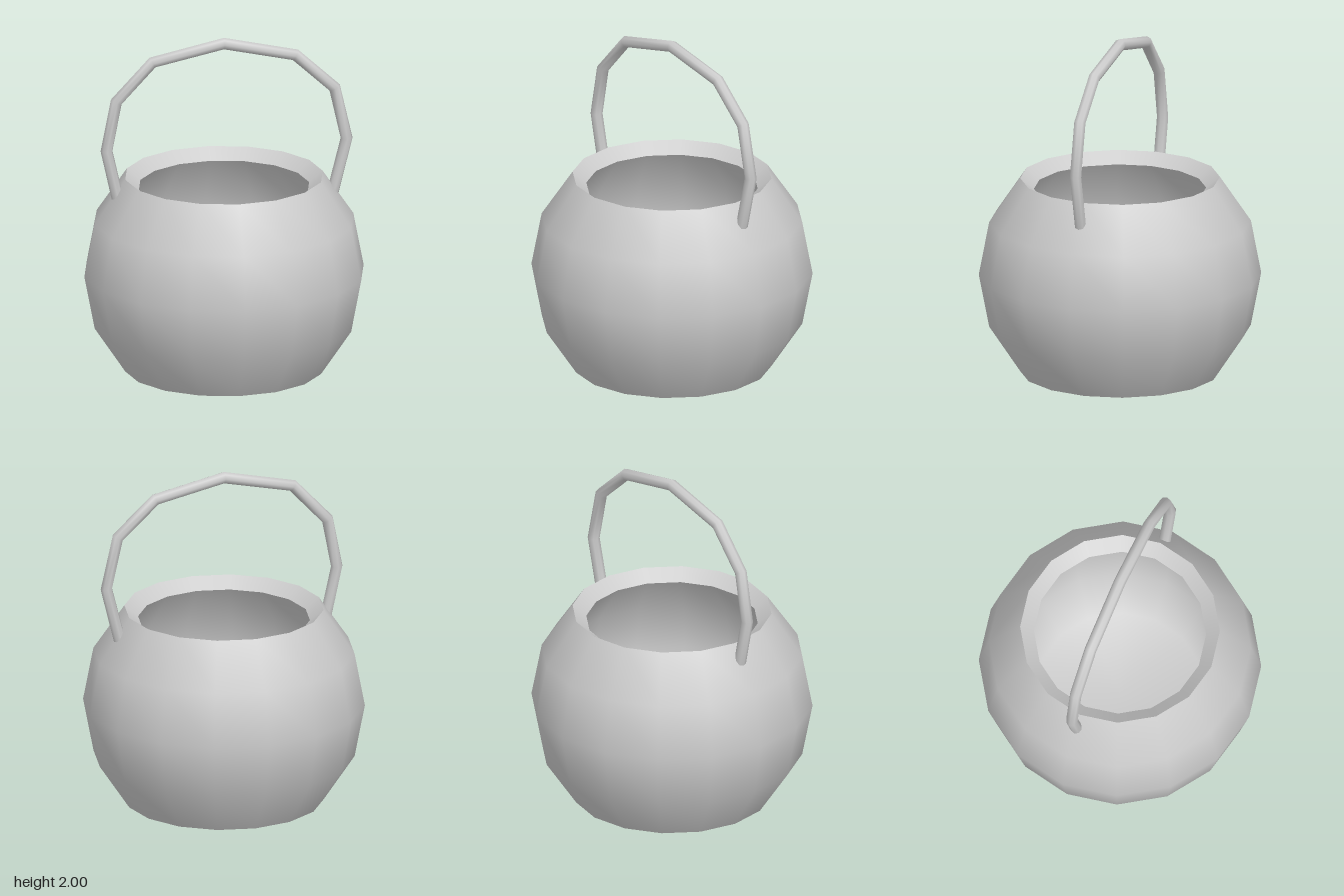
import * as THREE from 'three';

const SIDES = 16;
const material = new THREE.MeshStandardMaterial({ color: 0xcccccc, side: THREE.DoubleSide });

// Turned part: profile given as [radius, height] pairs
function turned(name, profile) {
  const points = profile.map(([r, y]) => new THREE.Vector2(r, y));
  const mesh = new THREE.Mesh(new THREE.LatheGeometry(points, SIDES), material);
  mesh.name = name;
  return mesh;
}

// Bent bar whose rings sit exactly on the given corner points
function bentBar(name, corners, radius, sides) {
  const curve = new THREE.CatmullRomCurve3(corners.map(([x, y]) => new THREE.Vector3(x, y, 0)));
  curve.getPointAt = curve.getPoint;
  curve.getTangentAt = curve.getTangent;
  const mesh = new THREE.Mesh(
    new THREE.TubeGeometry(curve, corners.length - 1, radius, sides), material);
  mesh.name = name;
  return mesh;
}

export function createModel() {
  const group = new THREE.Group();
  group.name = 'pot';

  // Thick round body: separate pieces keep the rim edges sharp
  const outer = [[0.58, 0], [0.76, 0.27], [0.82, 0.585], [0.76, 0.9], [0.58, 1.165]];
  const inner = [[0.5, 1.1], [0.66, 0.865], [0.715, 0.585], [0.66, 0.3], [0.5, 0.065]];
  const body = new THREE.Group();
  body.name = 'body';
  body.add(
    turned('outerWall', outer),
    turned('topRim', [outer[4], inner[0]]),
    turned('innerWallAndFloor', [...inner, [0, 0.065]]),
    turned('bottomRim', [inner[4], outer[0]]),
  );

  // Slightly uneven carrying handle, its ends sunk into the wall
  const handle = bentBar('handle', [
    [-0.615, 1.01], [-0.69, 1.345], [-0.633, 1.64], [-0.42, 1.87], [0, 1.965],
    [0.42, 1.877], [0.65, 1.668], [0.72, 1.36], [0.63, 1.0],
  ], 0.035, 8);

  group.add(body, handle);
  return group;
}
